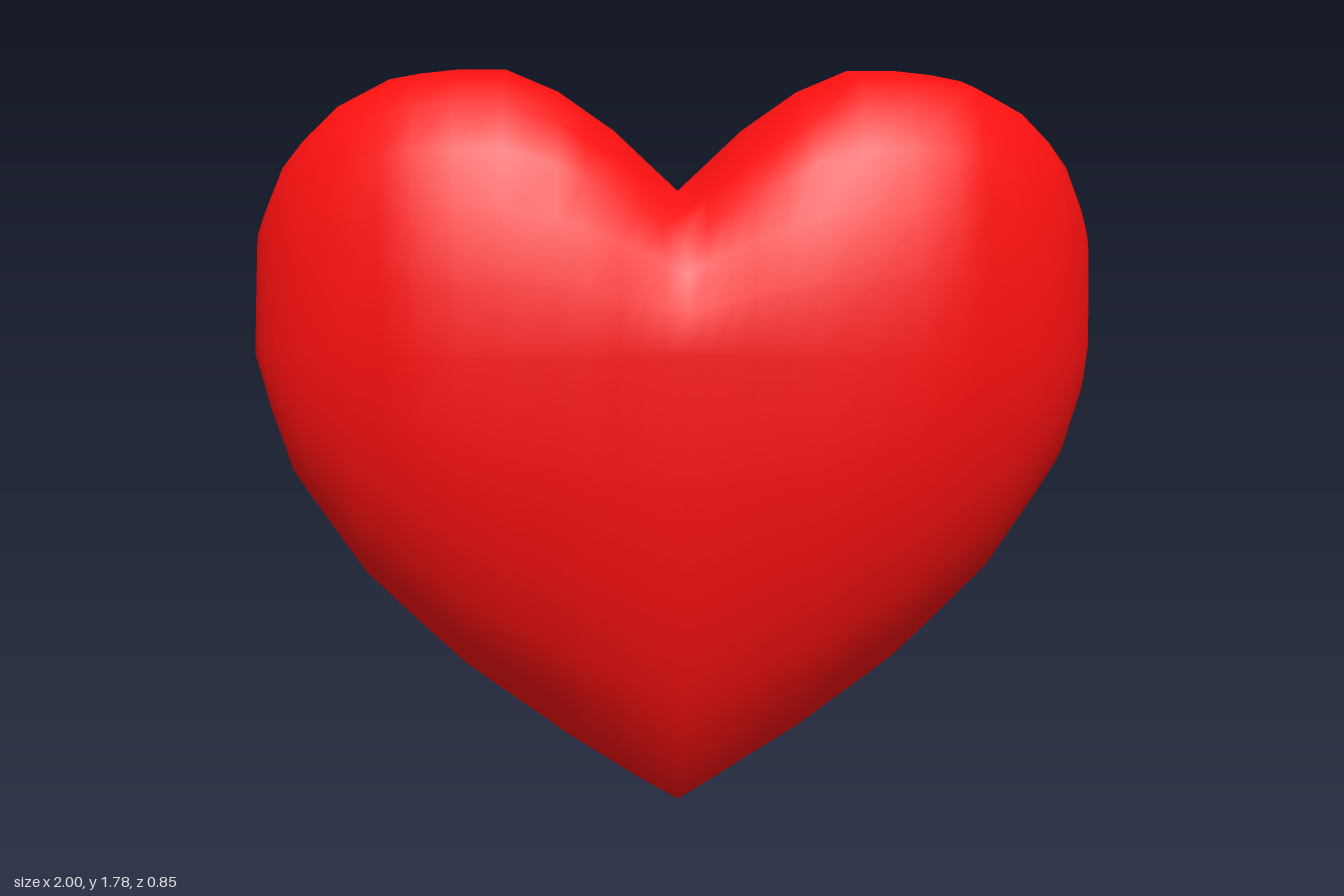
import * as THREE from 'three';
import { mergeVertices } from 'three/addons/utils/BufferGeometryUtils.js';

// Half profiles as [x, value]: upper outline, lower outline, half depth
const TOP = [[0, 1.5], [0.15, 1.64], [0.28, 1.73], [0.4, 1.78], [0.55, 1.78], [0.67, 1.757],
  [0.79, 1.695], [0.9, 1.59], [0.98, 1.41], [1, 1.12]];
const BOTTOM = [[0, 0], [0.1, 0.06], [0.28, 0.18], [0.51, 0.36], [0.74, 0.59], [0.91, 0.84], [1, 1.12]];
const DEPTH = [[0, 0.405], [0.1, 0.408], [0.22, 0.425], [0.4, 0.425], [0.6, 0.395], [0.75, 0.32],
  [0.86, 0.25], [0.955, 0.14], [1, 0]];
const STATIONS = [0, 0.05, 0.1, 0.15, 0.22, 0.28, 0.4, 0.51, 0.6, 0.67, 0.74, 0.79, 0.86, 0.91, 0.955, 0.98, 1];
const SIDES = 24;

function sample(profile, x) {
  const i = Math.max(1, profile.findIndex(p => p[0] >= x));
  const [x0, v0] = profile[i - 1], [x1, v1] = profile[i];
  return v0 + (v1 - v0) * (x - x0) / (x1 - x0);
}

// Loft egg-shaped slices from one side to the other
function heartGeometry() {
  const xs = [...STATIONS.slice(1).reverse().map(x => -x), ...STATIONS];
  const positions = [], indices = [];
  xs.forEach((x, i) => {
    const ax = Math.abs(x);
    const top = sample(TOP, ax), bottom = sample(BOTTOM, ax), depth = sample(DEPTH, ax);
    const middle = ax === 1 ? 1.12 : 1.15;
    for (let j = 0; j < SIDES; j++) {
      const a = j / SIDES * Math.PI * 2, c = Math.cos(a), s = Math.sin(a);
      const y = middle + c * (c > 0 ? top - middle : middle - bottom);
      // full and round above, tapering to the tip below
      const power = c > 0 ? 0.75 - 0.1 * Math.min(1, ax * 3) : 1.2 - 0.4 * ax;
      positions.push(x, y, depth * Math.sign(s) * Math.abs(s) ** power);
      if (i < xs.length - 1) {
        const k = (j + 1) % SIDES, p = i * SIDES, q = p + SIDES;
        indices.push(p + j, p + k, q + j, p + k, q + k, q + j);
      }
    }
  });
  let geometry = new THREE.BufferGeometry();
  geometry.setAttribute('position', new THREE.Float32BufferAttribute(positions, 3));
  geometry.setIndex(indices);
  geometry = mergeVertices(geometry, 1e-4);
  geometry.computeVertexNormals();
  return geometry;
}

export function createModel() {
  const group = new THREE.Group();
  const heart = new THREE.Mesh(heartGeometry(), new THREE.MeshStandardMaterial({ color: 0xff1010 }));
  heart.name = 'heart';
  group.add(heart);
  return group;
}
